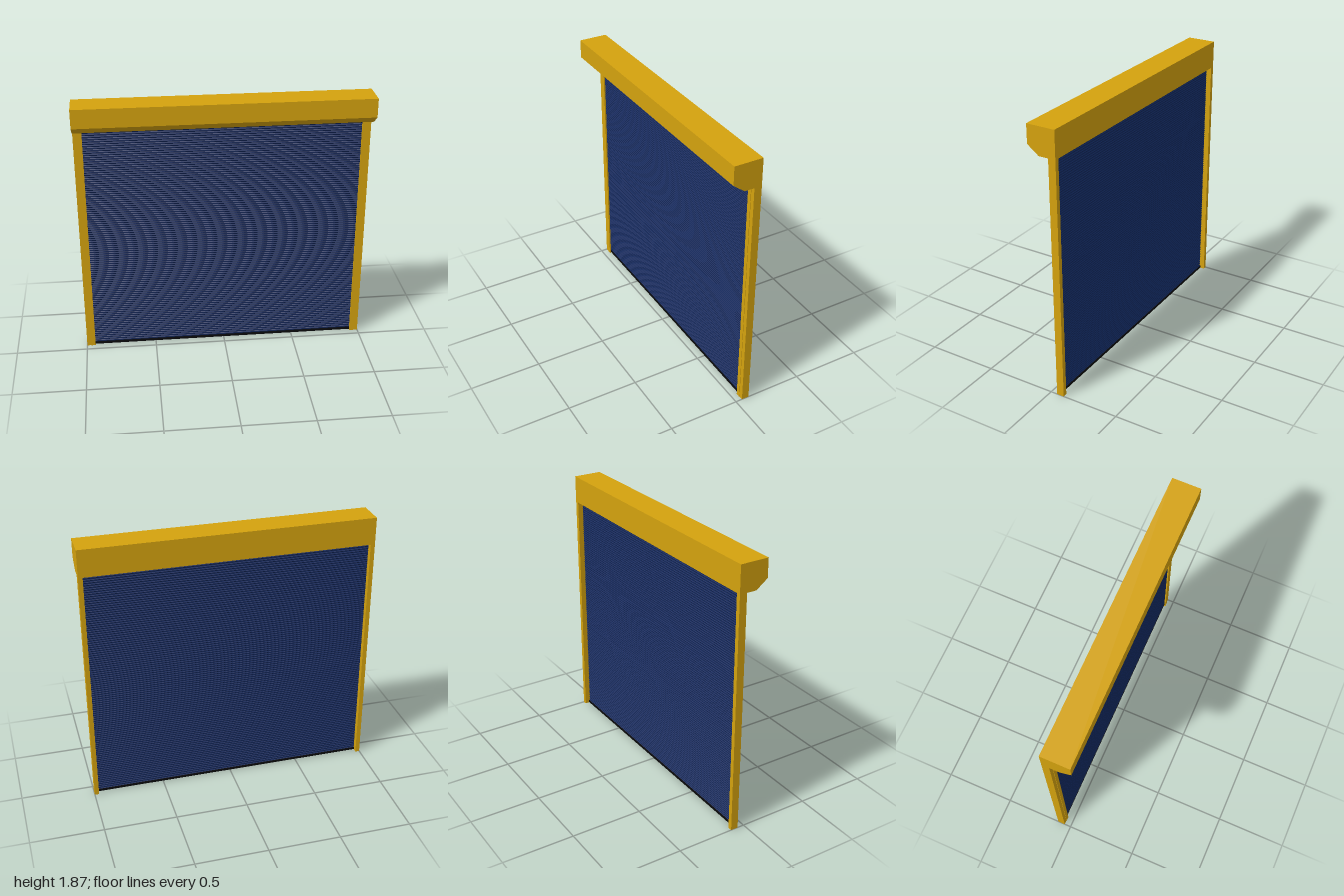
import * as THREE from 'three';

const yellow = new THREE.MeshStandardMaterial({ color: 0xd4a20e });
const blue = new THREE.MeshStandardMaterial({ color: 0x10265a });
const black = new THREE.MeshStandardMaterial({ color: 0x0a0a0c });

function mesh(name, geometry, material) {
  const m = new THREE.Mesh(geometry, material);
  m.name = name;
  return m;
}

// Extrudes a [z, y] profile along x, centred on x = 0
function extrudeAlongX(points, width) {
  const shape = new THREE.Shape(points.map(([z, y]) => new THREE.Vector2(-z, y)));
  const g = new THREE.ExtrudeGeometry(shape, { depth: width, bevelEnabled: false });
  return g.translate(0, 0, -width / 2).rotateY(Math.PI / 2);
}

// Extrudes an [x, z] section upwards from the ground
function extrudeUp(points, height) {
  const shape = new THREE.Shape(points.map(([x, z]) => new THREE.Vector2(x, -z)));
  const g = new THREE.ExtrudeGeometry(shape, { depth: height, bevelEnabled: false });
  return g.rotateX(-Math.PI / 2);
}

export function createModel() {
  const group = new THREE.Group();
  group.name = 'rollerShutter';

  // Roll housing with a chamfered lower front edge
  group.add(mesh('housing', extrudeAlongX([
    [-0.1, 1.68], [0.02, 1.68], [0.1, 1.74], [0.1, 1.87], [-0.1, 1.87],
  ], 2), yellow));

  // Guide rails: outer post with a lip in front of the curtain
  for (const s of [-1, 1]) {
    const section = [
      [1, -0.1], [1, -0.048], [0.97, -0.048], [0.97, -0.045],
      [0.94, -0.045], [0.94, -0.055], [0.97, -0.055], [0.97, -0.1],
    ].map(([x, z]) => [x * s, z]);
    group.add(mesh(s > 0 ? 'leftRail' : 'rightRail', extrudeUp(section, 1.68), yellow));
  }

  // Curtain of narrow curved slats
  const slats = 105, steps = 4, bottom = 0.02, top = 1.69;
  const pitch = (top - bottom) / slats;
  const front = [], back = [];
  for (let i = 0; i <= slats * steps; i++) {
    const y = bottom + (i * pitch) / steps;
    const bulge = 0.005 * Math.sin((Math.PI * (i % steps)) / steps);
    front.push([-0.063 + bulge, y]);
    back.unshift([-0.066 + bulge, y]);
  }
  group.add(mesh('curtain', extrudeAlongX([...front, ...back], 1.94), blue));

  // Bottom seal bar
  const bar = mesh('bottomBar', new THREE.BoxGeometry(1.94, 0.016, 0.014), black);
  bar.position.set(0, 0.012, -0.064);
  group.add(bar);

  return group;
}
